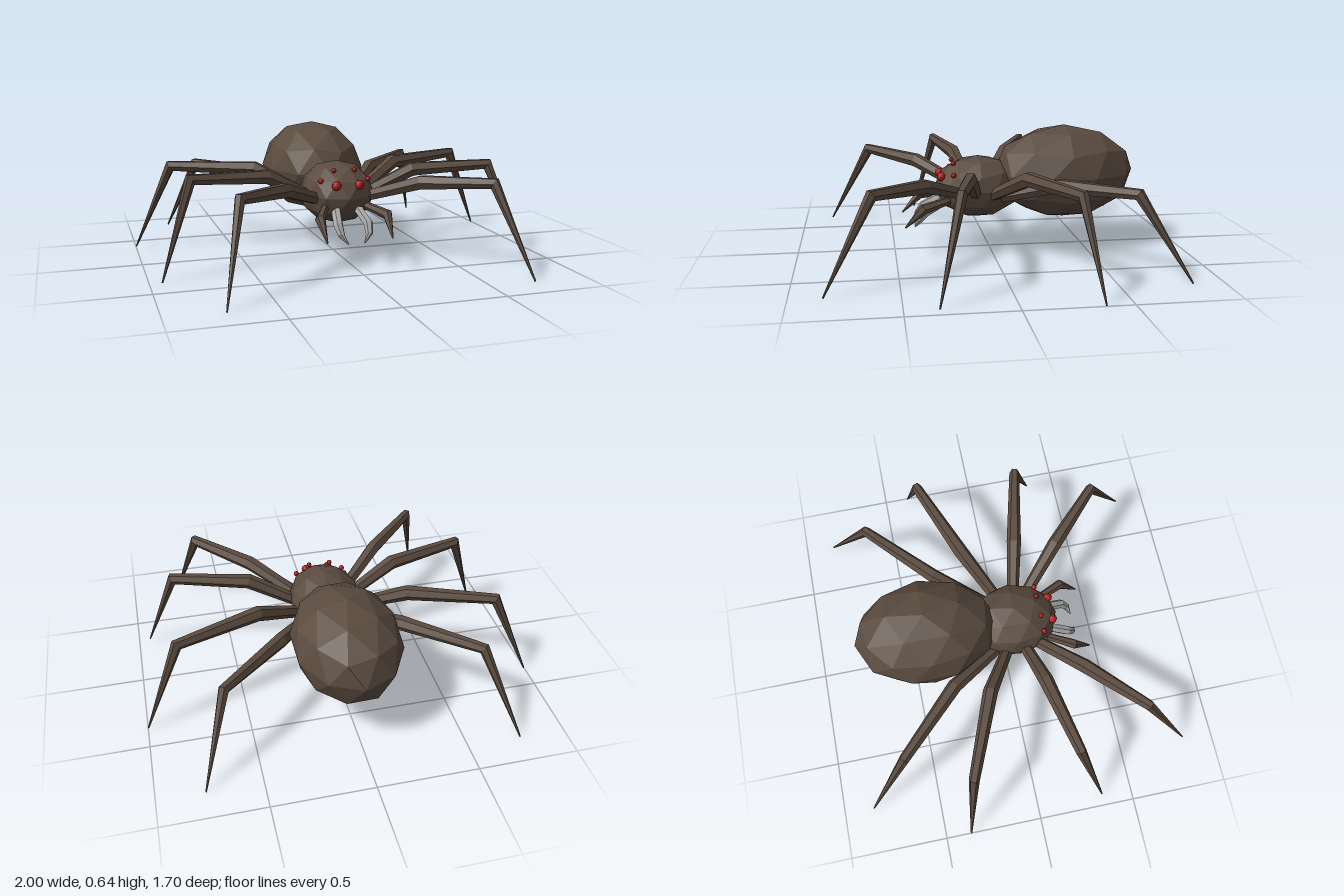
import * as THREE from 'three';

const mat = (name, color) => {
  const m = new THREE.MeshStandardMaterial({ color, flatShading: true });
  m.name = name;
  return m;
};

// Faceted ellipsoid with a vertex at the top and on the z axis
function ellipsoid(rx, ry, rz) {
  const g = new THREE.IcosahedronGeometry(1, 1);
  g.rotateX(-Math.atan2((1 + Math.sqrt(5)) / 2, 1));
  g.rotateY(Math.PI / 2);
  g.scale(rx, ry, rz);
  g.computeVertexNormals();
  return g;
}

// Tapered limb lofted through joints given as [x, y, z, radius]
function limb(joints, sides = 6) {
  const pts = joints.map(j => new THREE.Vector3(j[0], j[1], j[2]));
  const last = pts.length - 1;
  const side = pts[last].clone().sub(pts[0]).cross(new THREE.Vector3(0, 1, 0)).normalize();
  const pos = [], idx = [];
  pts.forEach((p, i) => {
    const before = p.clone().sub(pts[Math.max(i - 1, 0)]).normalize();
    const after = pts[Math.min(i + 1, last)].clone().sub(p).normalize();
    const t = before.clone().add(after).normalize();
    const miter = i > 0 && i < last ? 1 / Math.max(t.dot(after), 0.6) : 1;
    const n = t.clone().cross(side).normalize();
    for (let j = 0; j < sides; j++) {
      const a = (j / sides) * Math.PI * 2, r = joints[i][3];
      const v = p.clone().addScaledVector(side, Math.cos(a) * r)
        .addScaledVector(n, Math.sin(a) * r * miter);
      pos.push(v.x, v.y, v.z);
    }
  });
  for (let i = 0; i < last; i++) {
    for (let j = 0; j < sides; j++) {
      const k = (j + 1) % sides, a = i * sides, b = a + sides;
      idx.push(a + j, a + k, b + j, a + k, b + k, b + j);
    }
  }
  // end caps
  for (let j = 1; j < sides - 1; j++) {
    const e = last * sides;
    idx.push(0, j + 1, j, e, e + j, e + j + 1);
  }
  const g = new THREE.BufferGeometry();
  g.setAttribute('position', new THREE.Float32BufferAttribute(pos, 3));
  g.setIndex(idx);
  g.computeVertexNormals();
  return g;
}

export function createModel() {
  const group = new THREE.Group();
  group.name = 'spider';
  const brown = mat('brown', 0x5a4b3f);
  const red = mat('red', 0xb4201a);
  const grey = mat('grey', 0xa8a8a8);

  const add = (name, geometry, material, x = 0, y = 0, z = 0) => {
    const m = new THREE.Mesh(geometry, material);
    m.name = name;
    m.position.set(x, y, z);
    group.add(m);
  };

  // Body
  add('abdomen', ellipsoid(0.273, 0.247, 0.375), brown, 0, 0.398, -0.4);
  add('thorax', ellipsoid(0.19, 0.163, 0.23), brown, 0, 0.33, 0.06);

  // Left-hand limbs: base, thigh joint, knee, tip
  const legs = [
    [[0.12, 0.31, 0.14, 0.03], [0.35, 0.41, 0.36, 0.038], [0.62, 0.435, 0.62, 0.027], [0.73, 0.003, 0.845, 0.004]],
    [[0.13, 0.31, 0.085, 0.03], [0.39, 0.442, 0.145, 0.038], [0.78, 0.462, 0.23, 0.027], [0.94, 0.003, 0.345, 0.004]],
    [[0.13, 0.3, 0.01, 0.03], [0.39, 0.438, -0.14, 0.038], [0.81, 0.445, -0.305, 0.027], [0.998, 0.003, -0.37, 0.004]],
    [[0.12, 0.29, -0.04, 0.03], [0.31, 0.383, -0.31, 0.038], [0.63, 0.402, -0.62, 0.027], [0.77, 0.003, -0.848, 0.004]],
  ];
  const palp = [[0.11, 0.28, 0.22, 0.02], [0.175, 0.255, 0.355, 0.026], [0.167, 0.158, 0.45, 0.004]];
  const fang = [[0.06, 0.265, 0.25, 0.026], [0.078, 0.215, 0.34, 0.025], [0.072, 0.17, 0.375, 0.018], [0.042, 0.13, 0.394, 0.004]];
  // Eyes: x, y, z, radius
  const eyes = [[0.06, 0.395, 0.255, 0.024], [0.125, 0.413, 0.198, 0.014], [0.055, 0.463, 0.193, 0.013]];

  for (const s of [1, -1]) {
    const label = s > 0 ? 'left' : 'right';
    const mirror = joints => joints.map(([x, y, z, r]) => [x * s, y, z, r]);
    legs.forEach((leg, i) => add(`${label}Leg${i + 1}`, limb(mirror(leg)), brown));
    add(`${label}Palp`, limb(mirror(palp)), brown);
    add(`${label}Fang`, limb(mirror(fang)), grey);
    eyes.forEach(([x, y, z, r], i) =>
      add(`${label}Eye${i + 1}`, ellipsoid(r, r, r), red, x * s, y, z));
  }
  return group;
}
